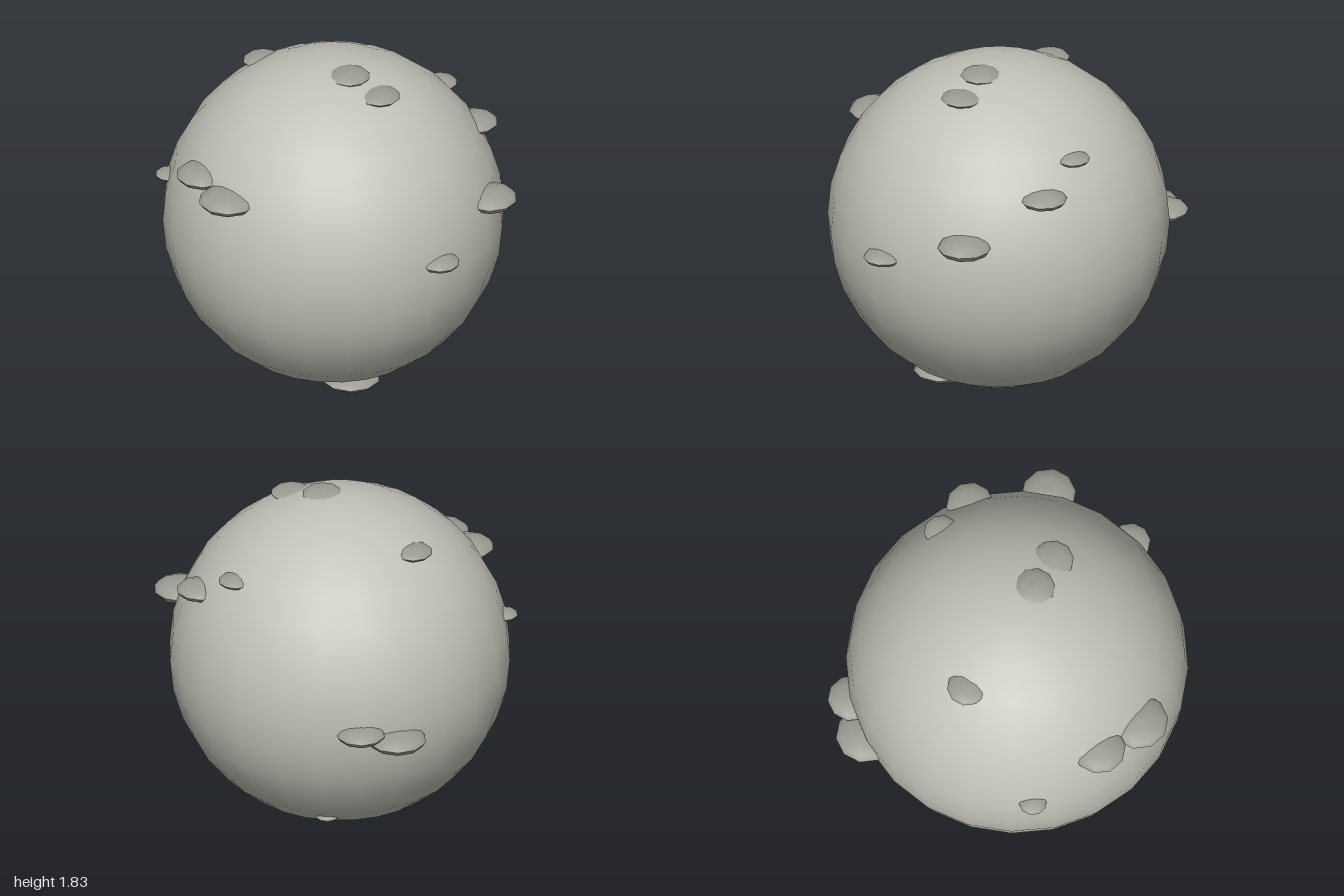
import * as THREE from 'three';

// Upper half of a flattened pebble; the rim stays a sharp crease.
function pebbleHalf() {
  const profile = [];
  for (let i = 0; i <= 3; i++) {
    const a = (i / 3) * Math.PI / 2;
    profile.push(new THREE.Vector2(Math.cos(a), Math.sin(a)));
  }
  profile[3].x = 0;
  return new THREE.LatheGeometry(profile, 10);
}

export function createModel() {
  const group = new THREE.Group();
  const stone = new THREE.MeshStandardMaterial({ color: 0xc2c1b7 });
  stone.name = 'paleStone';
  const darkStone = new THREE.MeshStandardMaterial({ color: 0x9d9c93 });
  darkStone.name = 'greyStone';

  // Main round body
  const body = new THREE.Mesh(new THREE.SphereGeometry(0.91, 24, 16), stone);
  body.name = 'boulder';
  body.position.set(0.015, 0.912, 0.005);
  group.add(body);

  // Flat pebbles half sunk in the surface: x, y, z, radius, half height
  const pebbles = [
    [0.025, 1.8, 0.14, 0.11, 0.032],
    [0.085, 1.747, 0.33, 0.112, 0.03],
    [-0.105, 1.66, -0.47, 0.107, 0.032],
    [0.08, 0.992, 0.888, 0.108, 0.037],
    [0.53, 1.155, 0.715, 0.146, 0.056],
    [0.713, 1.375, 0.315, 0.127, 0.045],
    [0.67, 1.515, 0.065, 0.092, 0.031],
    [0.475, 0.873, -0.765, 0.13, 0.047],
    [0.29, 0.815, -0.84, 0.158, 0.055],
    [-0.088, 0.078, 0.31, 0.158, 0.045],
    [-0.775, 1.31, 0.15, 0.158, 0.053],
    [-0.752, 1.337, -0.115, 0.142, 0.05],
    [-0.675, 1.125, -0.525, 0.076, 0.027],
    [0.395, 0.198, -0.372, 0.063, 0.023],
  ];
  const half = pebbleHalf();
  pebbles.forEach(([x, y, z, r, h], i) => {
    const pebble = new THREE.Group();
    pebble.name = `pebble${i + 1}`;
    const top = new THREE.Mesh(half, darkStone);
    top.name = 'pebbleTop';
    const bottom = new THREE.Mesh(half, darkStone);
    bottom.name = 'pebbleBottom';
    bottom.rotation.x = Math.PI;
    pebble.add(top, bottom);
    pebble.scale.set(r, h, r);
    pebble.position.set(x, y, z);
    group.add(pebble);
  });
  return group;
}
